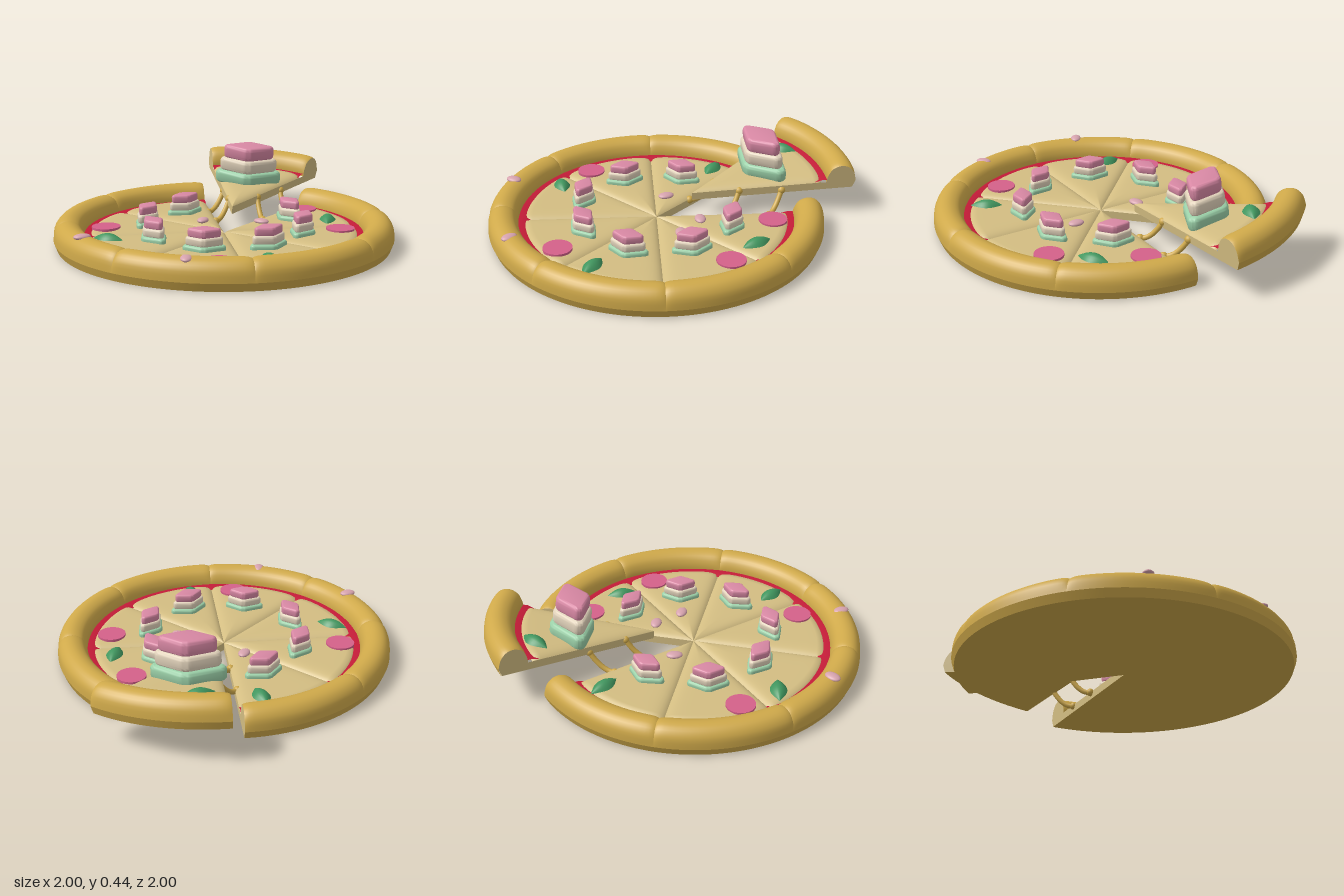
import * as THREE from 'three';
import { toCreasedNormals } from 'three/addons/utils/BufferGeometryUtils.js';

const paint = (name, color, side = THREE.FrontSide) => {
  const m = new THREE.MeshStandardMaterial({ color, side });
  m.name = name;
  return m;
};
const RAD = Math.PI / 180;
const V = (x, y, z) => new THREE.Vector3(x, y, z);

export function createModel() {
  const root = new THREE.Group();
  root.name = 'pizza';
  const crustMat = paint('golden crust', 0xcfa94a);
  const cheeseMat = paint('cheese', 0xd3bd82, THREE.DoubleSide);
  const sauceMat = paint('tomato sauce', 0xc41c38);
  const salamiMat = paint('salami', 0xd4618a);
  const pinkMat = paint('pink layer', 0xd888a4);
  const creamMat = paint('cream layer', 0xe2d3bb);
  const mintMat = paint('mint layer', 0x9bd0a8);
  const leafMat = paint('basil leaf', 0x41965f, THREE.DoubleSide);
  const petalMat = paint('onion petal', 0xd6a3ae);

  const add = (parent, name, geo, mat, pos = [0, 0, 0], turn = 0) => {
    const mesh = new THREE.Mesh(geo, mat);
    mesh.name = name;
    mesh.position.set(...pos);
    mesh.rotation.y = turn;
    parent.add(mesh);
    return mesh;
  };

  // ---- Dough wedges: profiles run [radius, height] and sweep 45 degrees ----
  const crustProfile = new THREE.SplineCurve([
    [0.785, 0.045], [0.79, 0.09], [0.815, 0.135], [0.865, 0.157],
    [0.915, 0.146], [0.948, 0.105], [0.955, 0.045],
  ].map((p) => new THREE.Vector2(...p))).getPoints(20).map((p) => [p.x, p.y]);

  // Crust narrows slightly where slices meet
  const pinch = (r, y, d) => {
    const f = 1 - 0.07 * Math.exp(-d / 0.018) * THREE.MathUtils.clamp((y - 0.045) / 0.06, 0, 1);
    return [0.87 + (r - 0.87) * f, y * f];
  };
  // Cheese puffs up away from the cuts
  const puff = (r, y, d) => [r, y - 0.026 * Math.exp(-d / 0.025)];

  function sweep(profile, a0, shape = (r, y) => [r, y]) {
    const n = 24, pos = [], idx = [], m = profile.length;
    for (let i = 0; i <= n; i++) {
      const t = 0.5 - 0.5 * Math.cos(Math.PI * i / n);
      const a = (a0 + 45 * t) * RAD;
      for (const [pr, py] of profile) {
        const d = pr * Math.sin(Math.min(t, 1 - t) * 45 * RAD);
        const [r, y] = shape(pr, py, d);
        pos.push(r * Math.cos(a), y, -r * Math.sin(a));
      }
    }
    for (let i = 0; i < n; i++) for (let j = 0; j < m - 1; j++) {
      const p = i * m + j, q = p + m;
      idx.push(p, p + 1, q, p + 1, q + 1, q);
    }
    const g = new THREE.BufferGeometry();
    g.setAttribute('position', new THREE.Float32BufferAttribute(pos, 3));
    g.setIndex(idx);
    g.computeVertexNormals();
    return g;
  }

  const cheeseProfile = [0, 0.03, 0.08, 0.15, 0.25, 0.35, 0.45, 0.55, 0.65, 0.71]
    .map((r) => [r, 0.072]).concat([[0.74, 0.07], [0.755, 0.05]]);
  const section = new THREE.Shape([[0, 0], [0.935, 0], ...crustProfile.slice().reverse()
    .map(([r, y]) => pinch(r, y, 0)), [0.74, 0.046], [0, 0.046]].map((p) => new THREE.Vector2(...p)));
  const sectionGeo = new THREE.ShapeGeometry(section);

  function wedge(parent, a0, cuts) {
    const g = new THREE.Group();
    g.name = 'slice';
    parent.add(g);
    add(g, 'crust', sweep(crustProfile, a0, pinch), crustMat);
    add(g, 'crustBevel', sweep([[0.955, 0.045], [0.938, 0]], a0), crustMat);
    add(g, 'underside', sweep([[0.938, 0], [0, 0]], a0), crustMat);
    add(g, 'sauce', sweep([[0.72, 0.05], [0.76, 0.062], [0.805, 0.06]], a0), sauceMat);
    add(g, 'cheese', sweep(cheeseProfile, a0, puff), cheeseMat);
    for (const a of cuts) add(g, 'cutFace', sectionGeo, cheeseMat, [0, 0, 0], a * RAD);
  }

  // ---- Toppings ----
  const rhombus = new THREE.Shape();
  const c = [[0.108, 0], [0, 0.062], [-0.108, 0], [0, -0.062]];
  const mix = (i, t) => [0, 1].map((k) => c[i % 4][k] * (1 - t) + c[(i + 1) % 4][k] * t);
  rhombus.moveTo(...mix(0, 0.15));
  for (let i = 0; i < 4; i++) {
    rhombus.lineTo(...mix(i, 0.85));
    rhombus.quadraticCurveTo(...c[(i + 1) % 4], ...mix(i + 1, 0.15));
  }
  const layerGeo = toCreasedNormals(new THREE.ExtrudeGeometry(rhombus, {
    depth: 0.02, bevelThickness: 0.014, bevelSize: 0.014, bevelSegments: 5, curveSegments: 6,
  }).rotateX(-Math.PI / 2), 0.7);

  function stack(parent, x, z, turn, s = 1) {
    const g = new THREE.Group();
    g.name = 'layeredStack';
    g.position.set(x, 0.05, z);
    g.rotation.y = turn * RAD;
    g.scale.setScalar(s);
    parent.add(g);
    [['mintLayer', mintMat, 1], ['creamLayer', creamMat, 0.87], ['pinkLayer', pinkMat, 0.76]]
      .forEach(([name, mat, w], i) => add(g, name, layerGeo, mat, [0, 0.014 + i * 0.045, 0]).scale.set(w, 1, w));
  }

  // Pointed, arched leaf
  const leafGeo = new THREE.PlaneGeometry(1, 1, 14, 8).rotateX(-Math.PI / 2);
  const lp = leafGeo.attributes.position;
  for (let i = 0; i < lp.count; i++) {
    const u = lp.getX(i), v = lp.getZ(i) * 2, w = Math.cos(Math.PI * u);
    lp.setXYZ(i, u * 0.19, 0.036 * w * (1 - v * v), v * 0.05 * w);
  }
  leafGeo.computeVertexNormals();
  const leaf = (parent, x0, z0, x1, z1) => add(parent, 'leaf', leafGeo, leafMat,
    [(x0 + x1) / 2, 0.068, (z0 + z1) / 2], Math.atan2(z0 - z1, x1 - x0));

  // ---- Seven slices on the table ----
  const base = new THREE.Group();
  base.name = 'pizzaBase';
  base.position.set(-0.04, 0, 0.04);
  root.add(base);
  for (let k = 1; k < 8; k++) {
    const a0 = 22.5 + 45 * k;
    wedge(base, a0, k === 1 ? [67.5] : k === 7 ? [22.5] : []);
    const a = (a0 + 22.5) * RAD;
    const turn = [0, 35, 90, -35][k % 4 === 1 ? 0 : k % 4 === 2 ? 1 : k % 4 === 3 ? 2 : 3];
    stack(base, 0.45 * Math.cos(a), -0.45 * Math.sin(a), turn);
  }

  const discGeo = new THREE.CylinderGeometry(0.081, 0.081, 0.03, 32);
  for (const [x, z] of [[-0.6, -0.33], [-0.41, 0.59], [0.51, 0.4], [0.61, -0.1]])
    add(root, 'salami', discGeo, salamiMat, [x, 0.067, z]);

  leaf(root, 0.08, -0.52, 0.11, -0.71);
  leaf(root, -0.75, -0.18, -0.64, -0.02);
  leaf(root, 0.65, 0.1, 0.53, 0.25);
  leaf(root, -0.15, 0.6, -0.18, 0.78);

  const petalGeo = new THREE.SphereGeometry(1, 18, 12).scale(0.047, 0.016, 0.032);
  for (const [x, y, z, t] of [[-0.055, 0.078, -0.17, 40], [0.22, 0.078, 0.03, -65],
    [0.165, 0.078, 0.21, -70], [-0.925, 0.155, 0.07, -8], [-0.65, 0.147, 0.68, 60]])
    add(root, 'petal', petalGeo, petalMat, [x, y, z], t * RAD);

  // ---- Lifted slice ----
  const lifted = new THREE.Group();
  lifted.name = 'liftedSlice';
  lifted.position.set(0.12, 0.1, -0.13);
  lifted.rotation.set(0.104, 0, 0.027);
  root.add(lifted);
  wedge(lifted, 22.5, [22.5, 67.5]);
  stack(lifted, 0.325, -0.34, -35, 1.75);
  leaf(lifted, 0.3, -0.58, 0.48, -0.56);

  // ---- Cheese strands stretching from the base to the lifted slice ----
  const blob = new THREE.SphereGeometry(0.023, 14, 10);
  for (const [x0, z0, x1, z1] of [[0.15, -0.455, 0.29, -0.5], [0.07, -0.235, 0.2, -0.29],
    [0.33, -0.12, 0.37, -0.24], [0.56, -0.205, 0.6, -0.33]]) {
    const a = V(x0, 0.04, z0), b = V(x1, 0.15, z1);
    const sag = V((x0 + x1) / 2, 0.035, (z0 + z1) / 2);
    const curve = new THREE.QuadraticBezierCurve3(a, sag, b);
    add(root, 'cheeseStrand', new THREE.TubeGeometry(curve, 16, 0.015, 10), crustMat);
    for (const p of [a, b]) add(root, 'strandEnd', blob, crustMat, p.toArray());
  }
  return root;
}
